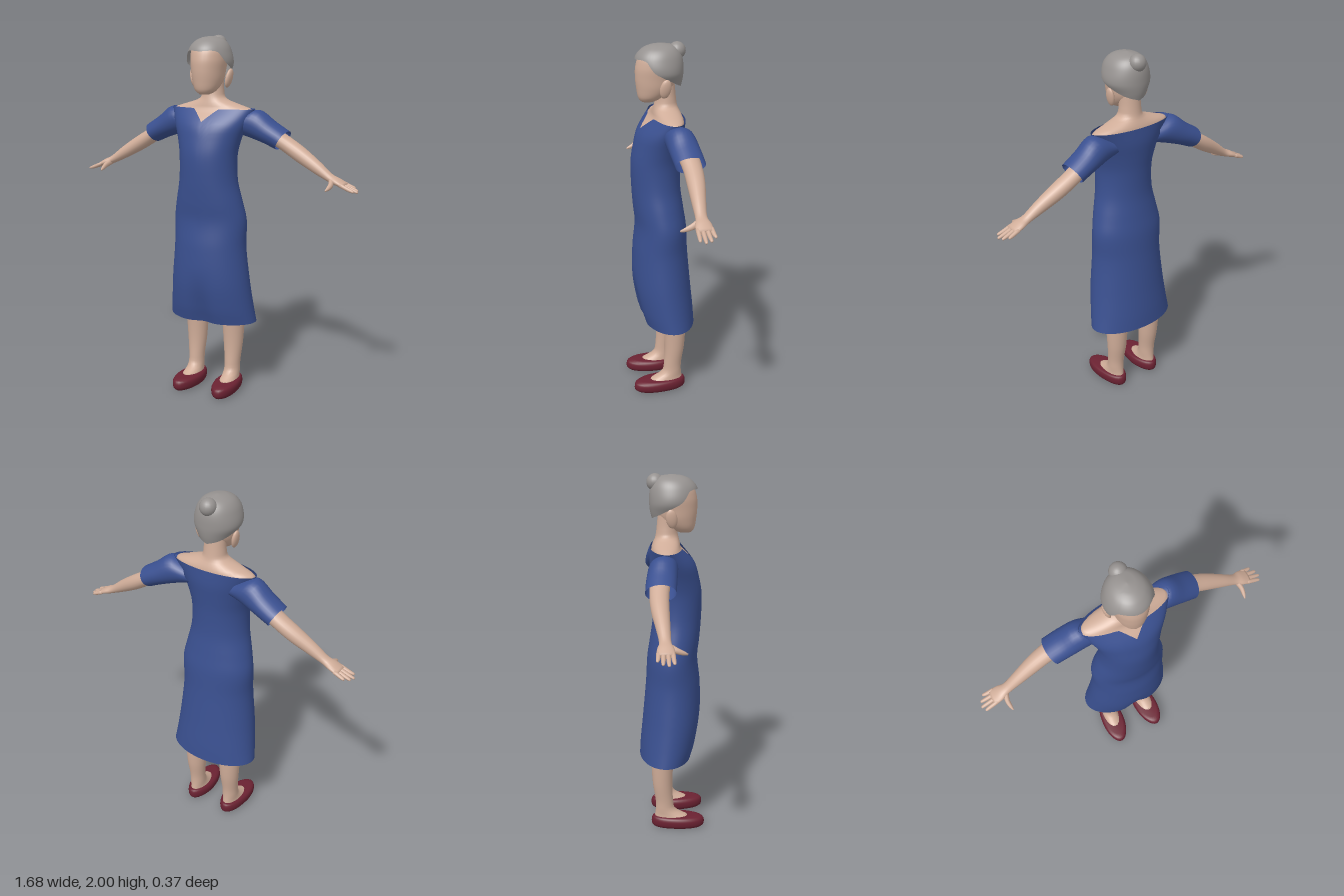
import * as THREE from 'three';

const mat = (name, color, side = THREE.FrontSide) => {
  const m = new THREE.MeshStandardMaterial({ color, side });
  m.name = name;
  return m;
};

// Closed surface of rings: fn(angle, v) gives a point, v runs 0..1 along the part
function surf(fn, cols, rows, capStart = true, capEnd = true) {
  const pos = [], idx = [];
  const ringCentre = (v) => {
    const c = new THREE.Vector3();
    for (let j = 0; j < cols; j++) c.addScaledVector(fn((j / cols) * Math.PI * 2, v), 1 / cols);
    return c;
  };
  for (let i = 0; i <= rows; i++)
    for (let j = 0; j < cols; j++) pos.push(...fn((j / cols) * Math.PI * 2, i / rows).toArray());
  for (let i = 0; i < rows; i++)
    for (let j = 0; j < cols; j++) {
      const a = i * cols + j, b = i * cols + ((j + 1) % cols);
      idx.push(a, b, b + cols, a, b + cols, a + cols);
    }
  [[capStart, 0], [capEnd, rows]].forEach(([on, row]) => {
    if (!on) return;
    const c = pos.length / 3;
    pos.push(...ringCentre(row / rows).toArray());
    for (let j = 0; j < cols; j++) {
      const a = row * cols + j, b = row * cols + ((j + 1) % cols);
      if (row) idx.push(c, a, b); else idx.push(c, b, a);
    }
  });
  const g = new THREE.BufferGeometry();
  g.setAttribute('position', new THREE.Float32BufferAttribute(pos, 3));
  g.setIndex(idx);
  g.computeVertexNormals();
  return g;
}

// Smooth interpolation of table rows keyed by their first entry
function sample(rows, k) {
  let i = 0;
  while (i < rows.length - 2 && k > rows[i + 1][0]) i++;
  const p = rows[i], q = rows[i + 1], h = q[0] - p[0];
  const t = THREE.MathUtils.clamp((k - p[0]) / h, 0, 1);
  const slope = (n, c) => {
    const a = rows[Math.max(n - 1, 0)], b = rows[Math.min(n + 1, rows.length - 1)];
    return (b[c] - a[c]) / (b[0] - a[0]);
  };
  return p.map((_, c) => c === 0 ? k :
    (2 * t ** 3 - 3 * t * t + 1) * p[c] + (t ** 3 - 2 * t * t + t) * h * slope(i, c) +
    (3 * t * t - 2 * t ** 3) * q[c] + (t ** 3 - t * t) * h * slope(i + 1, c));
}

// Upright part from rows [y, half width, front z, back z]; ends may vary with angle
function column(rows, { cols = 32, n = 28, lo, hi, caps = [true, true], bend } = {}) {
  const y0 = rows[0][0], y1 = rows[rows.length - 1][0];
  return surf((t, v) => {
    const a = lo ? lo(t) : y0, b = hi ? hi(t) : y1;
    const y = a + (b - a) * v;
    const [, rx, f, k] = sample(rows, y);
    const p = new THREE.Vector3(rx * Math.sin(t), y, (f + k) / 2 + ((f - k) / 2) * Math.cos(t));
    if (bend) bend(p);
    return p;
  }, cols, n, ...caps);
}

// Limb along a fixed direction from rows [x, y, z, thickness, depth]
function limb(rows, dir, n = 12, cols = 20, caps = [true, true]) {
  const W = new THREE.Vector3(...dir).normalize();
  const V = new THREE.Vector3(0, 0, 1).addScaledVector(W, -W.z).normalize();
  const U = new THREE.Vector3().crossVectors(W, V);
  const keyed = rows.map((r, i) => [i, ...r]);
  return surf((t, v) => {
    const [, x, y, z, a, b] = sample(keyed, v * (rows.length - 1));
    return new THREE.Vector3(x, y, z).addScaledVector(U, a * Math.sin(t)).addScaledVector(V, b * Math.cos(t));
  }, cols, n, ...caps);
}

// Mirror across x and keep faces outward
function mirrored(geo) {
  const g = geo.clone().scale(-1, 1, 1), ix = g.index;
  for (let i = 0; i < ix.count; i += 3) {
    const b = ix.getX(i + 1);
    ix.setX(i + 1, ix.getX(i + 2));
    ix.setX(i + 2, b);
  }
  g.computeVertexNormals();
  return g;
}

export function createModel() {
  const root = new THREE.Group();
  root.name = 'woman';
  const skin = mat('skin', 0xd0ad99);
  const cloth = mat('blue cloth', 0x3a5090, THREE.DoubleSide);
  const grey = mat('grey hair', 0x969290, THREE.DoubleSide);
  const red = mat('red shoe', 0x6b2232);

  const add = (name, geo, material) => {
    const m = new THREE.Mesh(geo, material);
    m.name = name;
    root.add(m);
  };
  const pair = (name, geo, material) => {
    add('left' + name, geo, material);
    add('right' + name, mirrored(geo), material);
  };

  // Dress with V neckline and a fold between the knees
  add('dress', column([
    [0.415, 0.262, 0.115, -0.18], [0.5, 0.25, 0.14, -0.175], [0.65, 0.232, 0.162, -0.16],
    [0.85, 0.212, 0.16, -0.142], [1.0, 0.214, 0.145, -0.133], [1.1, 0.195, 0.155, -0.118],
    [1.22, 0.169, 0.164, -0.102], [1.36, 0.166, 0.166, -0.102], [1.45, 0.185, 0.15, -0.11],
    [1.53, 0.215, 0.125, -0.118], [1.612, 0.25, 0.06, -0.115],
  ], {
    cols: 64, n: 48, caps: [false, false],
    hi: (t) => 1.612 - (Math.cos(t) > 0 ? 0.067 * Math.max(0, 1 - Math.abs(Math.sin(t)) / 0.3) : 0),
    bend: (p) => {
      if (p.z > 0) p.z -= 0.03 * Math.exp(-((p.x / 0.06) ** 2)) * (1 - THREE.MathUtils.smoothstep(p.y, 0.42, 0.75));
    },
  }), cloth);

  // Chest, shoulders and neck
  add('shouldersAndNeck', column([
    [1.45, 0.172, 0.138, -0.1], [1.54, 0.208, 0.114, -0.108], [1.605, 0.238, 0.054, -0.107],
    [1.635, 0.15, 0.046, -0.098], [1.66, 0.078, 0.04, -0.087], [1.7, 0.062, 0.032, -0.08],
    [1.8, 0.06, 0.03, -0.07],
  ], { cols: 40 }), skin);

  // Head and ears
  add('head', column([
    [1.69, 0.025, 0.105, 0.04], [1.708, 0.055, 0.122, 0], [1.76, 0.08, 0.133, -0.06],
    [1.82, 0.09, 0.139, -0.08], [1.88, 0.097, 0.136, -0.09], [1.94, 0.09, 0.112, -0.085],
    [1.975, 0.05, 0.06, -0.055],
  ]), skin);
  const ear = new THREE.SphereGeometry(1, 16, 12).scale(0.016, 0.052, 0.03);
  ear.rotateZ(-0.2).rotateX(-0.15).translate(0.108, 1.775, 0);
  pair('Ear', ear, skin);

  // Swept-back hair: hairline high at the brow, low at the nape
  const hairline = [[0, 1.918], [0.28, 1.915], [0.37, 1.865], [0.46, 1.84], [0.7, 1.79], [1, 1.76]];
  add('hair', column([
    [1.755, 0.075, 0.08, -0.1], [1.8, 0.1, 0.11, -0.112], [1.85, 0.126, 0.138, -0.117],
    [1.92, 0.113, 0.14, -0.112], [1.965, 0.085, 0.108, -0.09], [1.988, 0.045, 0.06, -0.055],
    [1.995, 0.005, 0.01, -0.005],
  ], {
    cols: 48, caps: [false, true],
    lo: (t) => sample(hairline, (t > Math.PI ? 2 * Math.PI - t : t) / Math.PI)[1],
  }), grey);
  add('hairBun', new THREE.SphereGeometry(0.046, 20, 14).translate(0, 1.954, -0.085), grey);

  // Sleeves
  pair('Sleeve', limb([
    [0.14, 1.53, -0.035, 0.055, 0.065], [0.225, 1.538, -0.045, 0.082, 0.076],
    [0.32, 1.492, -0.056, 0.066, 0.08], [0.402, 1.45, -0.062, 0.058, 0.079],
  ], [0.86, -0.5, 0], 12, 28, [false, false]), cloth);

  // Arms with palm
  pair('Arm', limb([
    [0.3, 1.5, -0.062, 0.045, 0.055], [0.41, 1.436, -0.07, 0.042, 0.05], [0.5, 1.382, -0.066, 0.042, 0.046],
    [0.6, 1.322, -0.054, 0.034, 0.036], [0.675, 1.276, -0.046, 0.023, 0.03],
    [0.72, 1.257, -0.044, 0.02, 0.042], [0.765, 1.238, -0.044, 0.013, 0.045],
  ], [0.87, -0.48, 0], 24), skin);

  // Fingers and thumb
  [[0.808, -0.084], [0.83, -0.058], [0.838, -0.03], [0.825, -0.004]].forEach(([x, z], i) => {
    const base = -0.078 + i * 0.0225, tipY = 1.209 + (0.838 - x) * 0.4;
    pair('Finger' + (i + 1), limb([
      [0.745, 1.246, base, 0.011, 0.012], [(0.76 + x) / 2, (1.238 + tipY) / 2, (base + z) / 2, 0.01, 0.011],
      [x - 0.006, tipY + 0.003, z, 0.007, 0.008], [x, tipY, z, 0.002, 0.003],
    ], [0.9, -0.42, 0], 8, 10), skin);
  });
  pair('Thumb', limb([
    [0.69, 1.262, -0.035, 0.016, 0.02], [0.702, 1.244, 0.005, 0.013, 0.016],
    [0.7, 1.23, 0.04, 0.01, 0.011], [0.695, 1.222, 0.063, 0.003, 0.004],
  ], [0.05, -0.4, 0.9], 8, 10), skin);

  // Legs with instep, and slip-on shoes splayed slightly outward
  const stance = (p) => { p.x += 0.117 + Math.max(0, p.z) * 0.06; };
  pair('Leg', column([
    [0.05, 0.052, 0.125, -0.1], [0.075, 0.045, 0.07, -0.096], [0.1, 0.044, 0.022, -0.092],
    [0.16, 0.045, 0.008, -0.092], [0.27, 0.056, 0.003, -0.108], [0.42, 0.066, 0.012, -0.116],
    [0.6, 0.075, 0.03, -0.12],
  ], { cols: 24, bend: stance }), skin);
  pair('Shoe', column([
    [0, 0.055, 0.17, -0.102], [0.012, 0.066, 0.183, -0.113], [0.04, 0.071, 0.185, -0.116],
    [0.058, 0.066, 0.174, -0.111], [0.066, 0.056, 0.145, -0.103],
  ], { n: 10, bend: stance }), red);

  return root;
}
